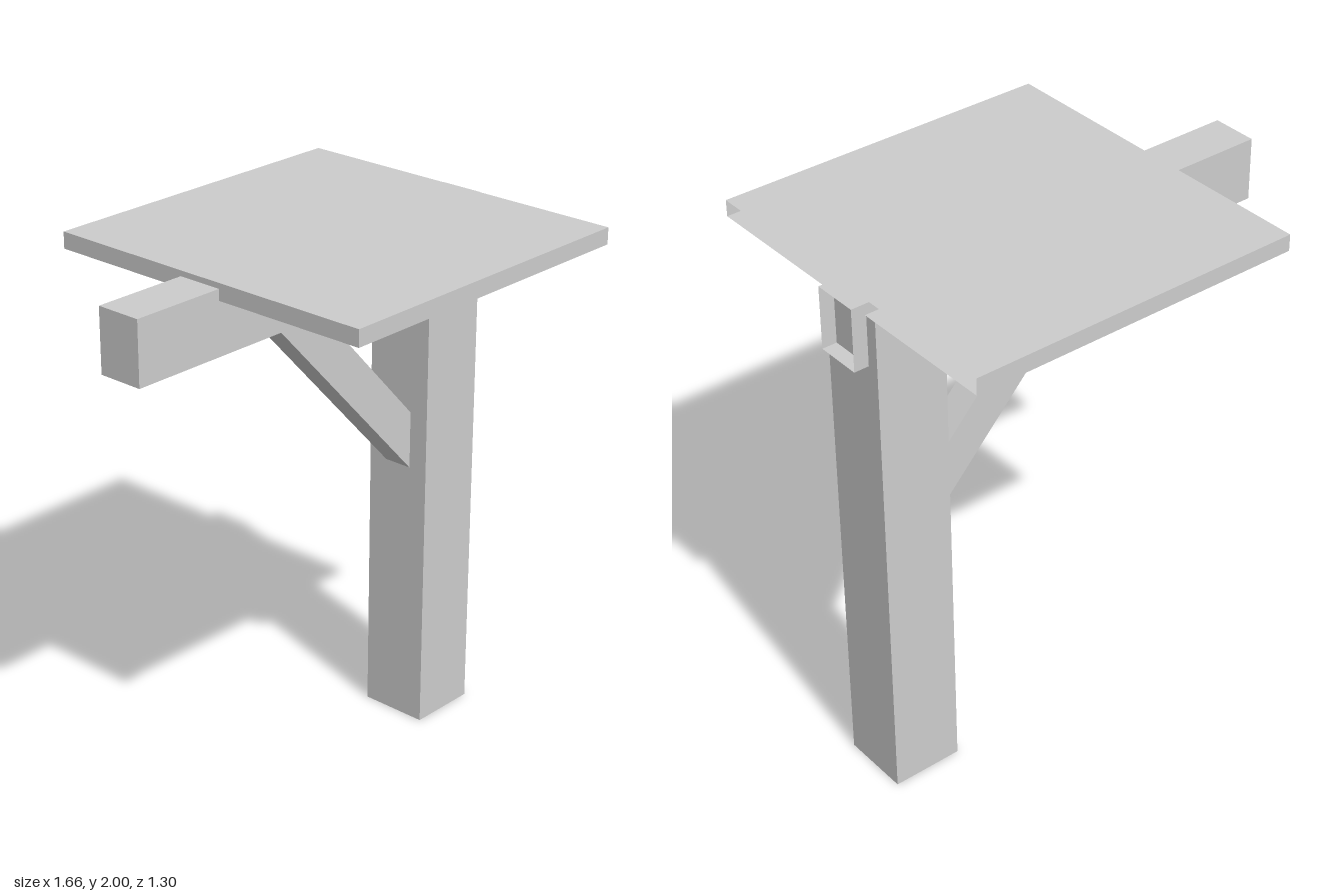
import * as THREE from 'three';

// Face order of a BoxGeometry
const FACES = ['+x', '-x', '+y', '-y', '+z', '-z'];

// Thin-walled box between two corners, with one face left open
function openBox(name, material, min, max, openFace) {
  const size = max.map((v, i) => v - min[i]);
  const geometry = new THREE.BoxGeometry(...size);
  const open = FACES.indexOf(openFace);
  const index = Array.from(geometry.index.array);
  index.splice(open * 6, 6);
  geometry.setIndex(index);
  geometry.clearGroups();
  const mesh = new THREE.Mesh(geometry, material);
  mesh.position.set(...max.map((v, i) => (v + min[i]) / 2));
  mesh.name = name;
  return mesh;
}

export function createModel() {
  const group = new THREE.Group();
  group.name = 'bracketedPost';

  const grey = new THREE.MeshStandardMaterial({ color: 0xcccccc, side: THREE.DoubleSide });
  grey.name = 'plain grey';

  // Upright, hollow underneath
  group.add(openBox('post', grey, [0.51, 0, -0.15], [0.775, 1.94, 0.11], '-y'));

  // Horizontal beam, open at its short end
  group.add(openBox('beam', grey, [-0.83, 1.75, -0.105], [0.83, 1.98, 0.065], '+x'));

  // Flat slab on top, open along the post side
  group.add(openBox('topPanel', grey, [-0.475, 1.94, -0.655], [0.78, 2, 0.65], '+x'));

  // Diagonal brace from post to beam
  const outline = new THREE.Shape([
    new THREE.Vector2(0.51, 1.02),
    new THREE.Vector2(0.51, 1.235),
    new THREE.Vector2(0.03, 1.75),
    new THREE.Vector2(-0.175, 1.75),
  ]);
  const braceGeometry = new THREE.ExtrudeGeometry(outline, { depth: 0.11, bevelEnabled: false });
  const brace = new THREE.Mesh(braceGeometry, grey);
  brace.position.z = -0.075;
  brace.name = 'diagonalBrace';
  group.add(brace);

  return group;
}
